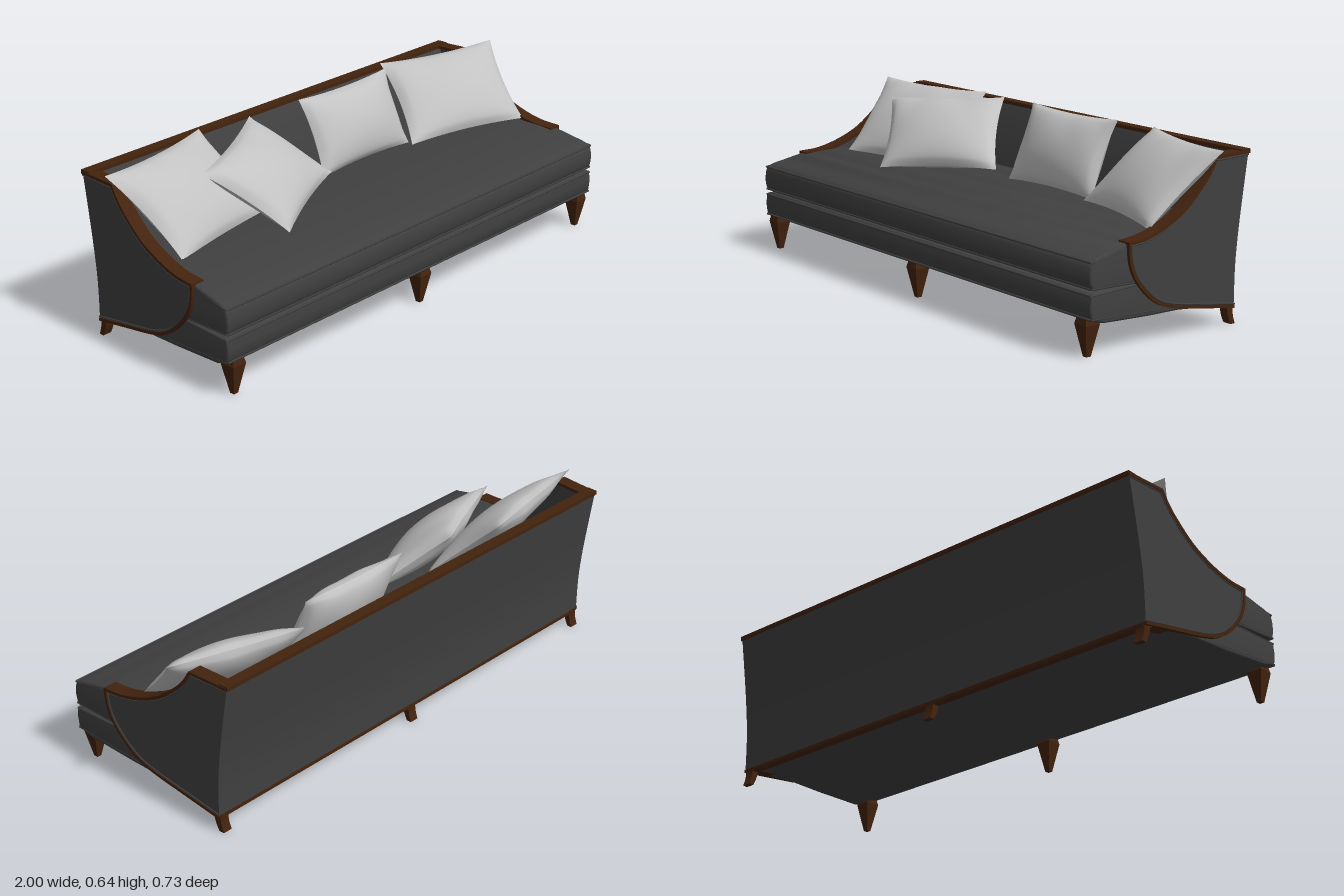
import * as THREE from 'three';
import { toCreasedNormals, mergeGeometries } from 'three/addons/utils/BufferGeometryUtils.js';

const mat = (name, color) => new THREE.MeshStandardMaterial({ name, color });

export function createModel() {
  const fabric = mat('charcoal fabric', 0x404040);
  const wood = mat('dark walnut', 0x43230e);
  const linen = mat('pale grey linen', 0xc2c2c2);
  const model = new THREE.Group();
  model.name = 'sofa';
  const frame = new THREE.Group();
  frame.name = 'sofaFrame';
  frame.position.x = -0.0175;
  model.add(frame);

  const add = (name, geo, material, parent = frame) => {
    const m = new THREE.Mesh(geo, material);
    m.name = name;
    parent.add(m);
    return m;
  };
  const v2 = (pts) => pts.map(([a, b]) => new THREE.Vector2(a, b));
  const spline = (pts, n) => new THREE.SplineCurve(v2(pts)).getPoints(n);

  // The whole sofa widens slightly from back to front
  const splayAt = (z) => 1 + 0.0858 * (z + 0.36);
  const splay = (geo) => {
    const p = geo.attributes.position;
    for (let i = 0; i < p.count; i++) p.setX(i, p.getX(i) * splayAt(p.getZ(i)));
    return geo;
  };

  // Extrude a (z, y) outline across x, centred on cx
  const across = (points, width, cx = 0, bevel = 0) => {
    const geo = new THREE.ExtrudeGeometry(new THREE.Shape(points), {
      depth: width - 2 * bevel, bevelEnabled: bevel > 0, bevelSize: bevel,
      bevelThickness: bevel, bevelOffset: -bevel, bevelSegments: 4,
    });
    geo.translate(0, 0, bevel - width / 2);
    geo.rotateY(-Math.PI / 2);
    geo.translate(cx, 0, 0);
    return toCreasedNormals(splay(geo), 0.6);
  };

  // Arm outline: top edge, sweeping front curve, then the underside
  const edge = [
    new THREE.Vector2(-0.36, 0.587),
    ...spline([[-0.2, 0.587], [-0.177, 0.548], [-0.14, 0.505], [-0.06, 0.437],
      [0.03, 0.392], [0.12, 0.366], [0.2, 0.36]], 30),
    ...spline([[0.2, 0.35], [0.192, 0.29], [0.165, 0.232], [0.11, 0.172], [0.05, 0.132],
      [-0.03, 0.108], [-0.15, 0.087], [-0.305, 0.06]], 30),
  ];
  const backCurve = spline([[-0.305, 0.06], [-0.307, 0.2], [-0.319, 0.32], [-0.338, 0.45], [-0.36, 0.587]], 16);
  const offset = (d) => edge.map((p, i) => {
    const t = edge[Math.min(i + 1, edge.length - 1)].clone().sub(edge[Math.max(i - 1, 0)]).normalize();
    return new THREE.Vector2(p.x + t.y * d, p.y - t.x * d);
  });

  for (const s of [-1, 1]) {
    const side = s > 0 ? 'left' : 'right';
    add(side + 'ArmPanel', across([...edge, ...backCurve.slice(1, -1)], 0.042, s * 0.912), fabric);
    add(side + 'ArmTrim', across([...offset(-0.003), ...offset(0.008).reverse()], 0.05, s * 0.912), wood);
    // Welt that follows the trim on the outside
    const path = offset(0.012).map((p) => new THREE.Vector3(s * 0.933 * splayAt(p.x), p.y, p.x));
    add(side + 'ArmWelt', new THREE.TubeGeometry(new THREE.CatmullRomCurve3(path), 90, 0.0035, 6), fabric);
  }

  // Backrest with curved outer face and sloping inner face
  add('backrest', across([...backCurve, ...v2([[-0.328, 0.587], [-0.31, 0.55], [-0.23, 0.34], [-0.23, 0.15], [-0.27, 0.06]])],
    1.855), fabric);
  const rail = (name, w, h, d, y, z) =>
    add(name, new THREE.BoxGeometry(w, h, d), wood).position.set(0, y, z);
  rail('backTopRail', 1.872, 0.015, 0.04, 0.587, -0.345);
  rail('backBottomRail', 1.86, 0.012, 0.03, 0.061, -0.293);

  // Upholstered base and seat cushion
  const base = [[0.345, 0.217], [0.357, 0.208], [0.361, 0.175], [0.357, 0.14], [0.348, 0.127], [0.3, 0.113],
    [0.1, 0.1], [-0.05, 0.094], [-0.28, 0.066], [-0.28, 0.217]];
  add('seatBase', across(v2(base), 1.85, 0, 0.008), fabric);
  const seat = [...spline([[-0.27, 0.365], [-0.1, 0.367], [0.1, 0.366], [0.2, 0.357], [0.28, 0.341],
    [0.335, 0.328], [0.356, 0.312], [0.363, 0.27], [0.356, 0.235], [0.34, 0.225]], 36),
  ...v2([[0.17, 0.219], [-0.27, 0.217]])];
  add('seatCushion', across(seat, 1.85, 0, 0.01), fabric);

  // Piping along the front and short side edges
  const rod = (name, a, b) => {
    const curve = new THREE.LineCurve3(new THREE.Vector3(...a), new THREE.Vector3(...b));
    add(name, new THREE.TubeGeometry(curve, 1, 0.004, 6), fabric);
  };
  for (const [y, zBack, yBack] of [[0.318, 0.19, 0.337], [0.232, 0.16, 0.223], [0.21, 0.15, 0.213], [0.132, 0.06, 0.113]]) {
    const xf = 0.922 * splayAt(0.355), xb = 0.922 * splayAt(zBack);
    rod('frontPiping', [-xf, y, 0.355], [xf, y, 0.355]);
    for (const s of [-1, 1]) rod('sidePiping', [s * xf, y, 0.355], [s * xb, yBack, zBack]);
  }

  // Square tapered front legs and sabre-shaped back legs
  const r = Math.SQRT2;
  const frontLeg = toCreasedNormals(new THREE.LatheGeometry(
    v2([[0, 0], [0.009 * r, 0], [0.029 * r, 0.108], [0.024 * r, 0.13], [0, 0.13]]), 4).rotateY(Math.PI / 4), 0.3);
  const sabre = [...spline([[-0.276, 0.066], [-0.284, 0.03], [-0.298, 0]], 6),
    ...spline([[-0.318, 0], [-0.308, 0.03], [-0.304, 0.066]], 6)];
  for (const s of [-1, 0, 1]) {
    add('frontLeg', frontLeg, wood).position.set(s * 0.93, 0, 0.33);
    add('backLeg', across(sabre, 0.035, s * 0.91), wood);
  }

  // Throw pillow spanned by its top-left, top-right and bottom-left corners
  const pillow = (name, tl, tr, bl, thick, seed) => {
    const [A, B, C] = [tl, tr, bl].map((c) => new THREE.Vector3(...c));
    const centre = B.clone().add(C).multiplyScalar(0.5);
    const U = B.clone().sub(A).multiplyScalar(0.5);
    const V = A.clone().sub(C).multiplyScalar(0.5);
    const N = U.clone().cross(V).normalize();
    const sheet = (dir) => {
      const geo = new THREE.PlaneGeometry(2, 2, 28, 28);
      const p = geo.attributes.position;
      for (let i = 0; i < p.count; i++) {
        const u = p.getX(i) * dir, v = p.getY(i);
        const bulge = Math.sqrt(Math.max(0, (1 - u * u) * (1 - v * v)));
        const crease = 1 + 0.07 * Math.sin(5 * u + 4 * v * u + seed) * (u * u + v * v);
        const q = centre.clone()
          .addScaledVector(U, u * (1 - 0.07 * (1 - v * v)))
          .addScaledVector(V, v * (1 - 0.07 * (1 - u * u)))
          .addScaledVector(N, dir * thick * Math.pow(bulge, 1.1) * crease);
        p.setXYZ(i, q.x, q.y, q.z);
      }
      geo.computeVertexNormals();
      return geo;
    };
    add(name, mergeGeometries([sheet(1), sheet(-1)]), linen, model);
  };
  pillow('rightBackPillow', [-0.985, 0.62, -0.21], [-0.46, 0.615, -0.31], [-0.89, 0.36, 0.05], 0.06, 0);
  pillow('rightFrontPillow', [-0.71, 0.59, -0.04], [-0.27, 0.625, -0.25], [-0.5, 0.37, 0.16], 0.065, 2);
  pillow('middlePillow', [-0.055, 0.637, -0.215], [0.42, 0.637, -0.215], [-0.05, 0.368, -0.1], 0.06, 4);
  pillow('leftPillow', [0.5, 0.615, -0.31], [0.998, 0.62, -0.17], [0.41, 0.37, -0.07], 0.06, 1);

  return model;
}
